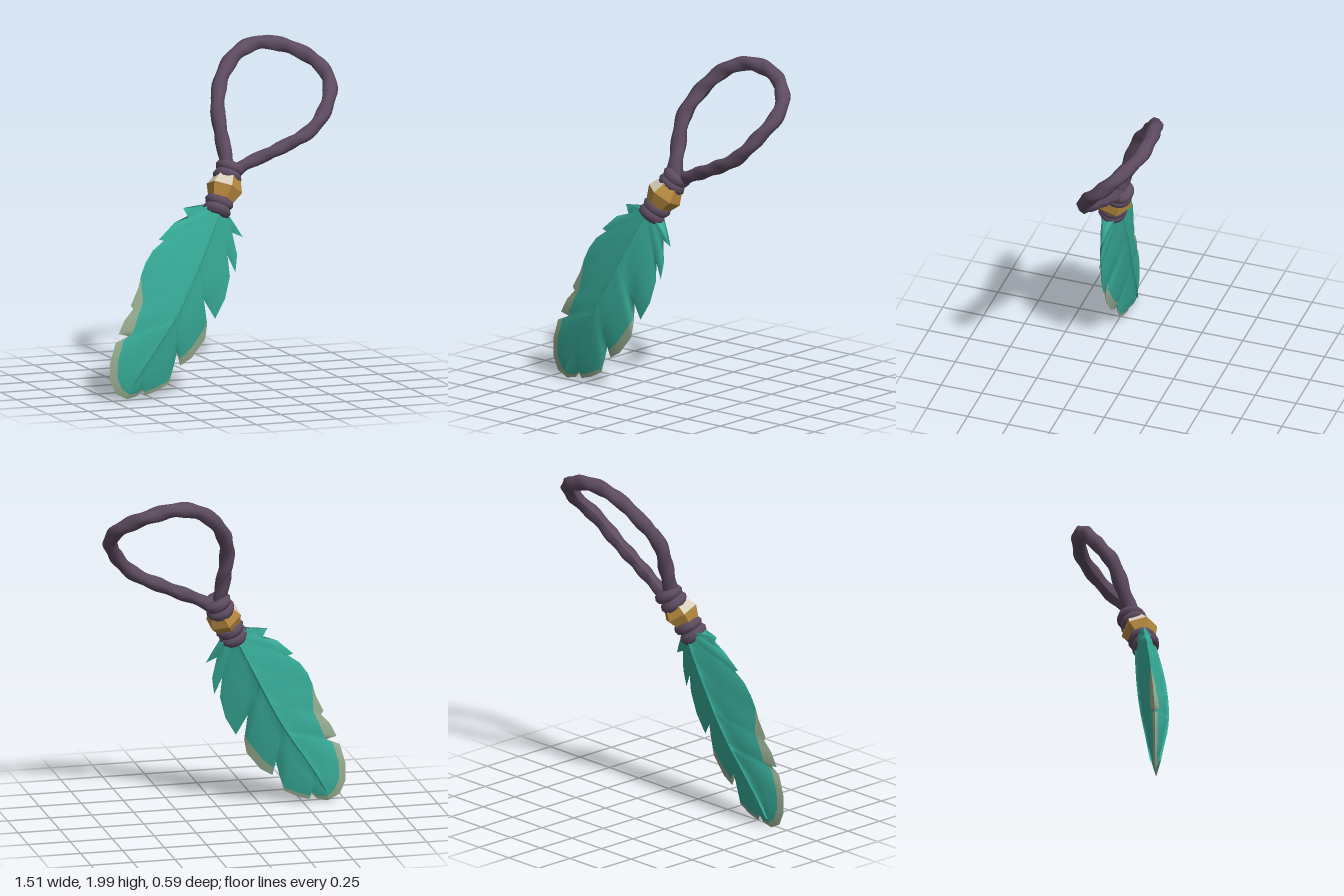
import * as THREE from 'three';

const mat = (name, color, side = THREE.FrontSide) => {
  const m = new THREE.MeshStandardMaterial({ color, side });
  m.name = name;
  return m;
};
const V = (x, y, z = 0) => new THREE.Vector3(x, y, z);

export function createModel() {
  const group = new THREE.Group();
  const teal = mat('teal', 0x38ad9a, THREE.DoubleSide);
  const pale = mat('pale green', 0x98ae92, THREE.DoubleSide);
  const purple = mat('dark purple', 0x5e4c61);
  const gold = mat('gold', 0xb88a40);
  const ivory = mat('ivory', 0xd8cfba);

  const add = (name, geometry, material) => {
    const mesh = new THREE.Mesh(geometry, material);
    mesh.name = name;
    group.add(mesh);
    return mesh;
  };

  // Feather: swept barbs run from the shaft to each edge point [x, y, share of pale tip]
  const shaft = new THREE.CatmullRomCurve3(
    [V(-0.05, 1.1), V(-0.18, 0.84), V(-0.36, 0.5), V(-0.56, 0.2), V(-0.64, 0.06)]);
  const tip = [-0.65, 0.005, 0.6];
  const rightEdge = [[0, 1.04, 0], [0.045, 0.97, 0], [0.09, 0.9, 0], [0.025, 0.93, 0], [0.05, 0.8, 0],
    [0.035, 0.7, 0], [-0.01, 0.8, 0], [0, 0.68, 0], [-0.035, 0.55, 0], [-0.1, 0.44, 0], [-0.17, 0.56, 0],
    [-0.15, 0.41, 0.06], [-0.165, 0.325, 0.16], [-0.25, 0.22, 0.16], [-0.32, 0.18, 0.14], [-0.34, 0.26, 0],
    [-0.36, 0.18, 0], [-0.39, 0.08, 0.06], [-0.47, 0.04, 0.1], [-0.54, 0.02, 0.14], [-0.55, 0.055, 0.08],
    [-0.585, 0.02, 0.15], tip];
  const leftEdge = [[-0.11, 1.09, 0], [-0.19, 1.08, 0], [-0.27, 1.09, 0], [-0.24, 1.03, 0], [-0.33, 1.01, 0],
    [-0.43, 0.92, 0], [-0.4, 0.91, 0], [-0.47, 0.86, 0], [-0.52, 0.79, 0], [-0.55, 0.72, 0],
    [-0.57, 0.65, 0.05], [-0.62, 0.55, 0.2], [-0.605, 0.53, 0.14], [-0.66, 0.47, 0.22], [-0.7, 0.39, 0.26],
    [-0.64, 0.375, 0.03], [-0.72, 0.34, 0.14], [-0.755, 0.22, 0.17], [-0.755, 0.12, 0.22],
    [-0.72, 0.04, 0.28], tip];

  const shaftParams = (edge) => {
    const ts = edge.map(([x, y], i) => {
      let best = 0, dist = 9;
      for (let k = 0; k <= 100; k++) {
        const d = shaft.getPointAt(k / 100).distanceTo(V(x, y));
        if (d < dist) { dist = d; best = k / 100; }
      }
      return i === edge.length - 1 ? 1 : Math.max(0, best - dist * 1.15 / 1.2);
    });
    for (let i = ts.length - 2; i >= 0; i--) ts[i] = Math.min(ts[i], ts[i + 1]);
    return ts;
  };
  const centreZ = (y) => 0.22 - 0.065 * Math.pow(THREE.MathUtils.clamp((y - 0.3) / 0.7, 0, 1.15), 1.4);
  const halfDepth = (t) => 0.02 + 0.028 * (1 - t) + 0.042 * Math.sin(Math.PI * t);

  const pos = [], tealIndex = [], paleIndex = [];
  const rings = [0, 0.07, 0.35, 0.7, 1];
  for (const [edge, side] of [[rightEdge, 1], [leftEdge, -1]]) {
    const ts = shaftParams(edge);
    for (const face of [1, -1]) {
      const start = pos.length / 3;
      edge.forEach(([x, y, band], i) => {
        const s = shaft.getPointAt(ts[i]);
        const relief = i % 2 ? 0.9 : 1;
        [...rings.map((u) => u * (1 - band)), 1].forEach((u, j) => {
          const p = s.clone().lerp(V(x, y), u);
          const h = halfDepth(ts[i]) * (1 - Math.pow(u, 1.6)) * (j ? relief : 1) + (j ? 0 : 0.01);
          pos.push(p.x, p.y, centreZ(p.y) + face * h);
        });
      });
      for (let i = 0; i < edge.length - 1; i++) {
        for (let j = 0; j < 5; j++) {
          if (j === 4 && !edge[i][2] && !edge[i + 1][2]) continue;
          const a = start + i * 6 + j, b = a + 6, c = b + 1, d = a + 1;
          (j === 4 ? paleIndex : tealIndex).push(...(side * face > 0 ? [a, b, c, a, c, d] : [a, c, b, a, d, c]));
        }
      }
    }
  }
  const feather = new THREE.BufferGeometry();
  feather.setAttribute('position', new THREE.Float32BufferAttribute(pos, 3));
  feather.setIndex([...tealIndex, ...paleIndex]);
  feather.addGroup(0, tealIndex.length, 0);
  feather.addGroup(tealIndex.length, paleIndex.length, 1);
  feather.computeVertexNormals();
  add('feather', feather, [teal, pale]);

  // Cord loop: a tube with a twisted, slightly lumpy surface
  const loop = new THREE.CatmullRomCurve3([V(0.02, 1.24, 0.08), V(0.03, 1.33, 0.06), V(0.02, 1.45, 0.02),
    V(0.015, 1.63, -0.04), V(0.08, 1.79, -0.14), V(0.2, 1.91, -0.21), V(0.35, 1.957, -0.245),
    V(0.54, 1.92, -0.235), V(0.68, 1.83, -0.14), V(0.713, 1.74, -0.05), V(0.65, 1.61, 0.06),
    V(0.54, 1.49, 0.105), V(0.33, 1.385, 0.095), V(0.14, 1.305, 0.07), V(0.05, 1.25, 0.07)]);
  const segs = 100, sides = 8;
  const cord = new THREE.TubeGeometry(loop, segs, 0.042, sides);
  const cp = cord.attributes.position;
  for (let i = 0; i <= segs; i++) {
    const centre = loop.getPointAt(i / segs);
    const taper = 1.04 - 0.16 * Math.pow(i / segs, 3);
    for (let j = 0; j <= sides; j++) {
      const k = i * (sides + 1) + j;
      const f = taper * (1 + 0.09 * Math.sin((j / sides) * Math.PI * 4 + i * 0.9));
      const p = V(cp.getX(k), cp.getY(k), cp.getZ(k)).sub(centre).multiplyScalar(f).add(centre);
      cp.setXYZ(k, p.x, p.y, p.z);
    }
  }
  cord.computeVertexNormals();
  add('cordLoop', cord, purple);

  // Binding parts share one tilted axis
  const axis = V(0.095, 0.18, -0.07).normalize();
  const tilt = new THREE.Quaternion().setFromUnitVectors(V(0, 1), axis);
  const place = (mesh, centre, offset = 0) => {
    mesh.quaternion.copy(tilt);
    mesh.position.copy(centre).addScaledVector(axis, offset);
  };

  // Cord wraps above and below the bead
  for (const [name, centre] of [['lowerWrap', V(-0.055, 1.085, 0.14)], ['upperWrap', V(0.038, 1.268, 0.073)]]) {
    [-0.028, 0.028].forEach((offset, i) => {
      const ring = new THREE.TorusGeometry(0.05, 0.036, 8, 14);
      ring.rotateX(Math.PI / 2 + (i ? 0.14 : -0.1));
      place(add(name, ring, purple), centre, offset);
    });
    place(add(name + 'Core', new THREE.CylinderGeometry(0.05, 0.05, 0.1, 10), purple), centre);
  }

  // Faceted bead, two upper facets in ivory
  let bead = new THREE.CylinderGeometry(0.077, 0.077, 0.14, 6, 2);
  const bp = bead.attributes.position;
  for (let i = 0; i < bp.count; i++) {
    if (Math.abs(bp.getY(i)) < 0.01) bp.setXYZ(i, bp.getX(i) * 1.4, 0, bp.getZ(i) * 1.4);
  }
  bead = bead.toNonIndexed();
  bead.computeVertexNormals();
  bead.clearGroups();
  const facets = bead.attributes.position.count / 6;
  for (let q = 0; q < facets; q++) bead.addGroup(q * 6, 6, q === 8 || q === 10 ? 1 : 0);
  place(add('bead', bead, [gold, ivory]), V(-0.003, 1.183, 0.113));

  return group;
}
